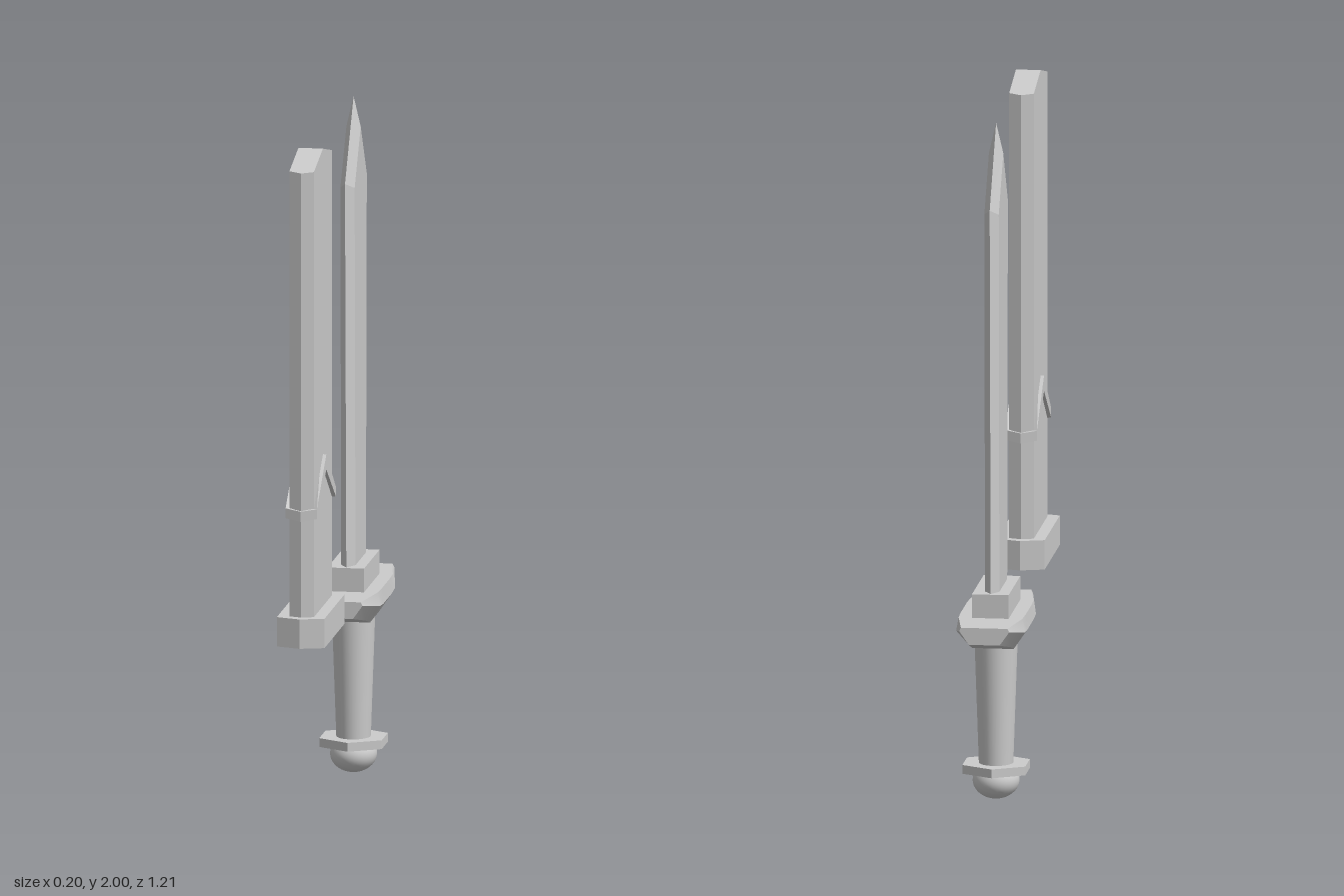
import * as THREE from 'three';
import { toCreasedNormals } from 'three/addons/utils/BufferGeometryUtils.js';

const flat = new THREE.MeshStandardMaterial({ color: 0xcccccc, flatShading: true, side: THREE.DoubleSide });
const smooth = new THREE.MeshStandardMaterial({ color: 0xcccccc, side: THREE.DoubleSide });

// Skin a list of equal-length rings; optional centre points close the ends.
function loft(rings, startCap, endCap) {
  const n = rings[0].length;
  const pos = rings.flat(2);
  const idx = [];
  for (let r = 0; r < rings.length - 1; r++) {
    for (let i = 0; i < n; i++) {
      const a = r * n + i, b = r * n + (i + 1) % n;
      idx.push(a, b, b + n, a, b + n, a + n);
    }
  }
  const cap = (centre, base, flip) => {
    const c = pos.length / 3;
    pos.push(...centre);
    for (let i = 0; i < n; i++) {
      const a = base + i, b = base + (i + 1) % n;
      idx.push(...(flip ? [b, a, c] : [a, b, c]));
    }
  };
  if (startCap) cap(startCap, 0, true);
  if (endCap) cap(endCap, (rings.length - 1) * n, false);
  const g = new THREE.BufferGeometry();
  g.setAttribute('position', new THREE.Float32BufferAttribute(pos, 3));
  g.setIndex(idx);
  g.computeVertexNormals();
  return g;
}

// Long hexagonal ring with midpoints on its broad sides:
// x = half thickness, zo / zi = half length at tips / flats; y at tips, flats and middle.
const ring = (x, zo, zi, yTip, yFlat = yTip, yMid = yFlat) => [
  [0, yTip, zo], [x, yFlat, zi], [x, yMid, 0], [x, yFlat, -zi],
  [0, yTip, -zo], [-x, yFlat, -zi], [-x, yMid, 0], [-x, yFlat, zi],
];

function add(parent, name, geometry, material = flat, y = 0) {
  const m = new THREE.Mesh(geometry, material);
  m.name = name;
  m.position.y = y;
  parent.add(m);
  return m;
}

function createSword() {
  const sword = new THREE.Group();
  sword.name = 'sword';

  // Blade: bevelled edges, flared towards the pointed tip
  add(sword, 'blade', loft([
    ring(0.021, 0.125, 0.09, 0.6),
    ring(0.021, 0.148, 0.105, 1.77, 1.75),
    ring(0.021, 0, 0, 2.0, 1.91),
  ], [0, 0.6, 0], [0, 2, 0]));

  add(sword, 'bladeCollar', new THREE.BoxGeometry(0.107, 0.07, 0.27), flat, 0.595);

  // Guard: cross-sections along z as [z, top, widest, bottom] with [x, y] pairs
  const half = [
    [0.275, [0.068, 0.56], [0.073, 0.55], [0.045, 0.51]],
    [0.13, [0.093, 0.56], [0.1, 0.52], [0.06, 0.475]],
    [0.07, [0.095, 0.56], [0.1, 0.515], [0.06, 0.457]],
  ];
  const stations = [...half, ...half.map(([z, ...p]) => [-z, ...p]).reverse()];
  const guardRings = stations.map(([z, ...p]) => [
    ...p.map(([x, y]) => [x, y, z]),
    ...p.map(([x, y]) => [-x, y, z]).reverse(),
  ]);
  add(sword, 'guard', toCreasedNormals(
    loft(guardRings, [0, 0.535, 0.275], [0, 0.535, -0.275]), 0.7), smooth);

  // Handle: slightly oval, tapering downwards
  add(sword, 'grip', new THREE.CylinderGeometry(0.07, 0.056, 0.36, 32), smooth, 0.28).scale.x = 0.89;
  add(sword, 'pommelPlate', new THREE.CylinderGeometry(0.106, 0.106, 0.026, 6), flat, 0.093);
  add(sword, 'pommel', new THREE.SphereGeometry(1, 32, 20), smooth, 0.055).scale.set(0.068, 0.055, 0.076);

  sword.position.z = -0.33;
  return sword;
}

function createScabbard() {
  const scabbard = new THREE.Group();
  scabbard.name = 'scabbard';

  // Body: hollow inside, with a low gabled top
  add(scabbard, 'scabbardBody', loft([
    ring(0.022, 0.15, 0.135, 1.9),
    ring(0.022, 0.15, 0.135, 0.6),
    ring(0.036, 0.168, 0.156, 0.6),
    ring(0.036, 0.168, 0.156, 1.96, 1.963, 2.0),
  ], [0, 1.9, 0], [0, 2, 0]));

  // Chevron band round the body
  add(scabbard, 'chevronBand', loft([
    ring(0.03, 0.16, 0.15, 0.93, 0.937, 1.05),
    ring(0.046, 0.177, 0.163, 0.93, 0.937, 1.05),
    ring(0.046, 0.177, 0.163, 0.96, 0.966, 1.095),
    ring(0.03, 0.16, 0.15, 0.96, 0.966, 1.095),
  ]));

  // Mouth collar with the blade slot
  add(scabbard, 'mouthCollar', loft([
    ring(0.022, 0.15, 0.135, 0.645),
    ring(0.022, 0.15, 0.135, 0.558),
    ring(0.07, 0.195, 0.173, 0.558),
    ring(0.07, 0.195, 0.173, 0.645),
    ring(0.03, 0.16, 0.145, 0.645),
  ]));

  scabbard.position.z = 0.41;
  return scabbard;
}

export function createModel() {
  const model = new THREE.Group();
  model.name = 'swordAndScabbard';
  model.add(createSword(), createScabbard());
  return model;
}
